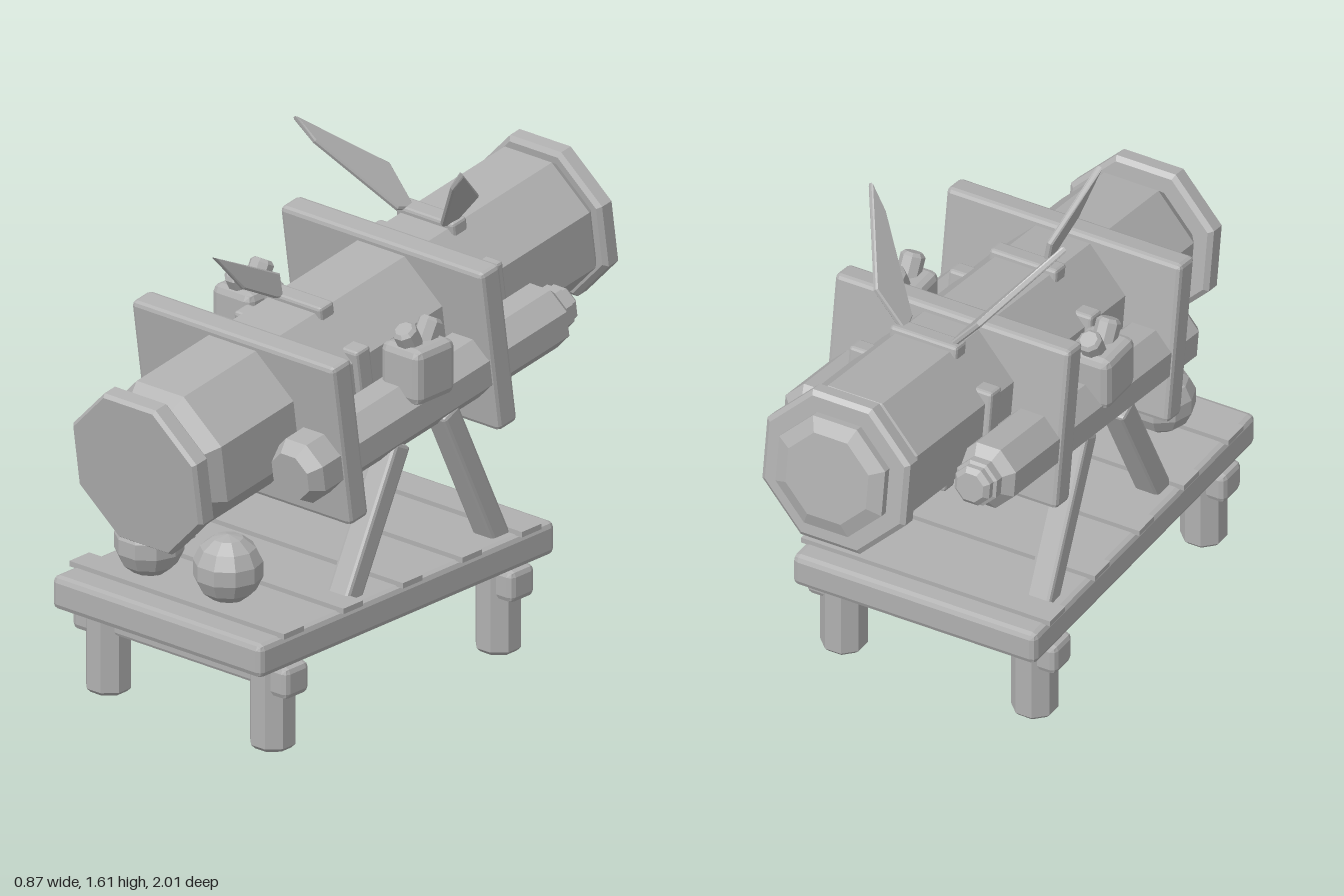
import * as THREE from 'three';
import { RoundedBoxGeometry } from 'three/addons/geometries/RoundedBoxGeometry.js';

export function createModel() {
  const model = new THREE.Group();
  const grey = new THREE.MeshStandardMaterial({ color: 0xb0b0b0 });
  grey.name = 'plain grey';
  grey.flatShading = true;

  const add = (parent, name, geometry, x = 0, y = 0, z = 0) => {
    const mesh = new THREE.Mesh(geometry, grey);
    mesh.name = name;
    mesh.position.set(x, y, z);
    parent.add(mesh);
    return mesh;
  };
  // Box with chamfered edges
  const block = (w, h, d, bevel = 0.012) => new RoundedBoxGeometry(w, h, d, 1, bevel);
  // Eight-sided turned solid along y, from [flat radius, position] pairs
  const octagon = (profile) => new THREE.LatheGeometry(
    profile.map(([r, y]) => new THREE.Vector2(r / Math.cos(Math.PI / 8), y)), 8, Math.PI / 8);
  const octagonZ = (profile) => octagon(profile).rotateX(Math.PI / 2);

  // Tilted assembly: the front end points slightly down
  const barrel = new THREE.Group();
  barrel.name = 'barrelAssembly';
  barrel.position.y = 1.012;
  barrel.rotation.x = THREE.MathUtils.degToRad(8.5);
  model.add(barrel);

  add(barrel, 'barrelBody', octagonZ([[0, -0.9], [0.2, -0.9], [0.23, -0.86], [0.23, 0.83], [0.18, 0.91], [0, 0.91]]));
  add(barrel, 'frontCollar', octagonZ([[0, 0.905], [0.235, 0.905], [0.25, 0.918], [0.25, 0.965], [0.24, 0.977], [0, 0.977]]));
  add(barrel, 'rearCollar', octagonZ([[0, -0.952], [0.235, -0.952], [0.25, -0.94], [0.25, -0.897], [0.235, -0.885], [0, -0.885]]));
  add(barrel, 'rearCap', octagonZ([[0, -0.998], [0.14, -0.998], [0.185, -0.978], [0.185, -0.94], [0, -0.94]]));

  // Square plates holding the barrel and side tubes
  for (const z of [0.455, -0.228]) {
    add(barrel, 'supportPlate', block(0.82, 0.545, 0.088, 0.015), 0, -0.017, z);
  }

  // Straps showing on the four main flats of the barrel
  for (const z of [0.195, -0.415]) {
    add(barrel, 'strapVertical', block(0.235, 0.5, 0.065, 0.01), 0, 0, z);
    add(barrel, 'strapHorizontal', block(0.5, 0.27, 0.065, 0.01), 0, 0, z);
  }

  for (const side of [1, -1]) {
    // Side tubes
    add(barrel, 'sideTube', octagonZ([
      [0, -0.64], [0.045, -0.64], [0.06, -0.625], [0.06, -0.605], [0.07, -0.6], [0.07, -0.57],
      [0.1, -0.54], [0.1, 0.58], [0.072, 0.622], [0, 0.622]]), side * 0.302, -0.086, 0);

    // Upright canister with two splayed nozzles
    const canister = new THREE.Group();
    canister.name = 'canister';
    canister.position.set(side * 0.342, 1.04, 0.068);
    model.add(canister);
    add(canister, 'canisterBody', block(0.16, 0.18, 0.175, 0.025));
    for (const dir of [1, -1]) {
      const nozzle = add(canister, 'nozzle', octagon([
        [0, -0.05], [0.036, -0.05], [0.036, 0.045], [0.026, 0.056], [0, 0.056]]), 0, 0.095, dir * 0.038);
      nozzle.rotation.x = dir * 0.5;
    }
  }

  // Thin blades: outline in (distance along slope, z), leaning from the base by slope (dx, dy)
  const blade = (name, outline, baseX, baseY, dx, dy, thick) => {
    const shape = new THREE.Shape(outline.map(([u, z]) => new THREE.Vector2(u, z)));
    const geometry = new THREE.ExtrudeGeometry(shape, {
      depth: thick, bevelEnabled: true, bevelSize: 0.005, bevelThickness: 0.005, bevelOffset: -0.005, bevelSegments: 1 });
    geometry.translate(0, 0, -thick / 2);
    const along = new THREE.Vector3(dx, dy, 0).normalize();
    const back = new THREE.Vector3(0, 0, 1);
    geometry.applyMatrix4(new THREE.Matrix4().makeBasis(along, back, along.clone().cross(back)));
    add(model, name, geometry, baseX, baseY, 0);
  };
  for (const side of [1, -1]) {
    blade('rearBlade', [[-0.02, -0.385], [0, -0.32], [0.29, -0.155], [0.385, -0.135], [0.14, -0.385]],
      side * 0.09, 1.315, side * 0.65, 0.76, 0.01);
  }
  blade('frontBlade', [[-0.005, 0.245], [0.07, 0.245], [0.2, 0.515], [0.07, 0.41], [0, 0.275]],
    -0.053, 1.22, -0.17, 0.98, 0.01);

  // Slanted frame struts from the deck to the side tubes
  const strut = (x, y0, z0, y1, z1) => {
    const length = Math.hypot(y1 - y0, z1 - z0);
    const mesh = add(model, 'strut', block(0.085, length, 0.075, 0.012), x, (y0 + y1) / 2, (z0 + z1) / 2);
    mesh.rotation.x = Math.atan2(z1 - z0, y1 - y0);
  };
  for (const x of [0.34, -0.34]) {
    strut(x, 0.37, 0.41, 0.83, 0.175);
    strut(x, 0.37, -0.28, 0.87, -0.04);
  }

  // Deck with raised planks
  add(model, 'deck', block(0.85, 0.11, 1.34, 0.02), 0, 0.34, 0.205);
  for (let i = 0; i < 5; i++) {
    add(model, 'plank', new THREE.BoxGeometry(0.87, 0.018, 0.09), 0, 0.401, 0.735 - i * 0.27);
  }

  // Legs, cross beams and end pegs
  for (const z of [0.717, -0.307]) {
    add(model, 'crossBeam', block(0.8, 0.085, 0.075), 0, 0.242, z);
    for (const side of [1, -1]) {
      add(model, 'leg', octagon([[0, 0], [0.055, 0], [0.067, 0.013], [0.067, 0.3], [0, 0.3]]), side * 0.333, 0, z);
      add(model, 'peg', block(0.1, 0.105, 0.11, 0.02), side * 0.386, 0.237, z);
    }
  }

  // Stacked balls under the front end
  for (const [x, y, z] of [[-0.21, 0.505, 0.67], [0.11, 0.505, 0.67], [-0.055, 0.685, 0.745]]) {
    add(model, 'ball', new THREE.SphereGeometry(0.11, 10, 7), x, y, z);
  }
  return model;
}
